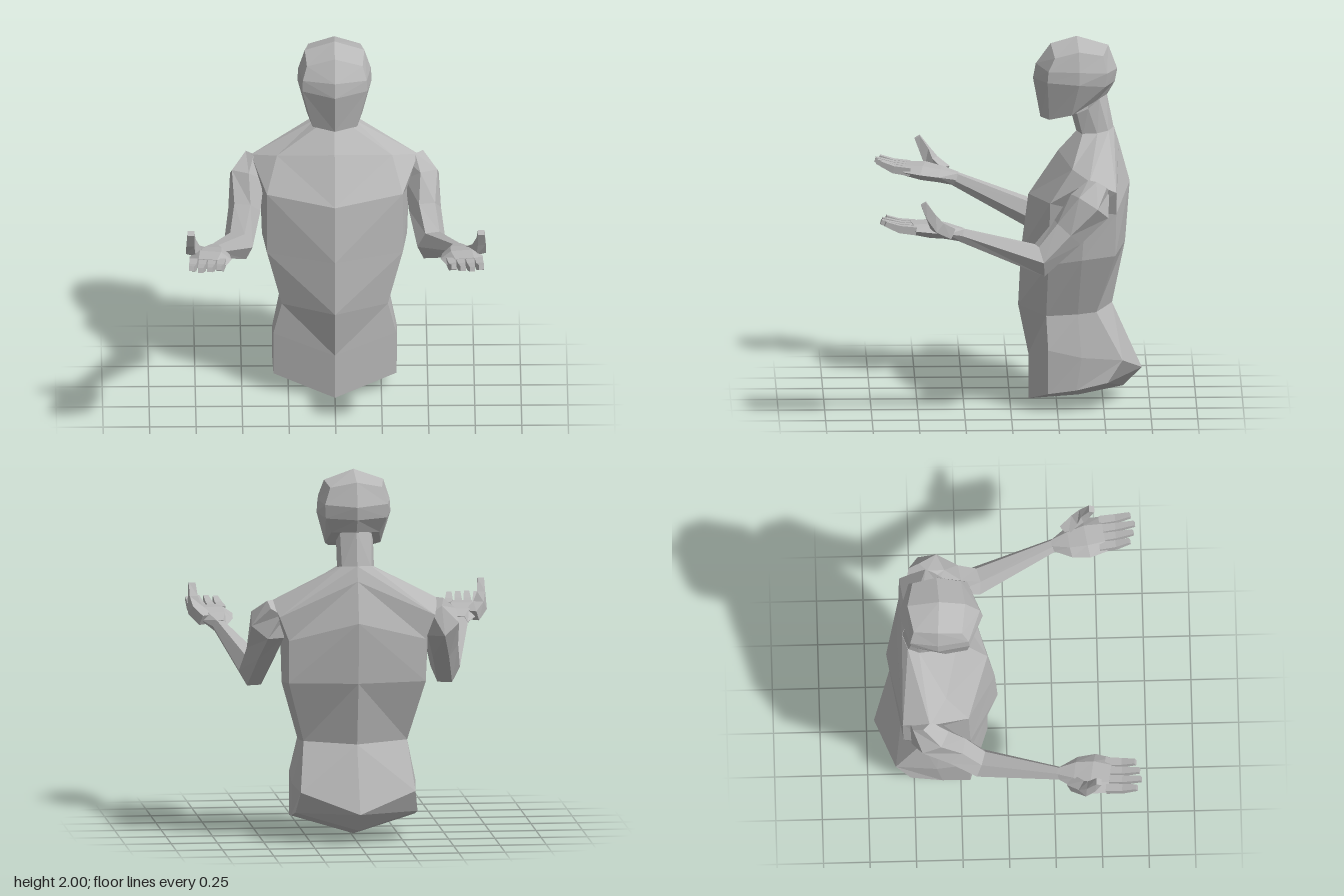
import * as THREE from 'three';

const grey = new THREE.MeshStandardMaterial({ color: 0xb8b8b8 });
grey.name = 'plain grey';

// Faceted skin over a stack of rings, closed with a fan at each end.
function loft(name, rings, startCentre, endCentre) {
  const pos = [];
  const tri = (...pts) => pts.forEach((p) => pos.push(p.x, p.y, p.z));
  const middle = (ring) =>
    ring.reduce((sum, p) => sum.add(p), new THREE.Vector3()).divideScalar(ring.length);
  const n = rings[0].length;
  const first = rings[0], last = rings[rings.length - 1];
  const c0 = startCentre || middle(first), c1 = endCentre || middle(last);
  for (let j = 0; j < n; j++) {
    const k = (j + 1) % n;
    for (let i = 0; i < rings.length - 1; i++) {
      const a = rings[i][j], b = rings[i][k], c = rings[i + 1][k], d = rings[i + 1][j];
      // diagonals are mirrored so both halves match
      if (j < n / 2) { tri(a, b, c); tri(a, c, d); } else { tri(a, b, d); tri(b, c, d); }
    }
    tri(c0, first[k], first[j]);
    tri(c1, last[j], last[k]);
  }
  const geo = new THREE.BufferGeometry();
  geo.setAttribute('position', new THREE.Float32BufferAttribute(pos, 3));
  geo.computeVertexNormals();
  const mesh = new THREE.Mesh(geo, grey);
  mesh.name = name;
  return mesh;
}

// Half ring (front centre, front corner, side, back corner, back centre) mirrored to a full one.
function fullRing(half) {
  const right = half.map((p) => new THREE.Vector3(...p));
  const left = right.slice(1, -1).reverse().map((p) => new THREE.Vector3(-p.x, p.y, p.z));
  return [...right, ...left];
}

// Limb from sections [x, y, z, half width, half thickness], mirrored in x by s.
function limb(name, s, sections, sides = 6) {
  const centres = sections.map(([x, y, z]) => new THREE.Vector3(s * x, y, z));
  const up = new THREE.Vector3(0, 1, 0);
  const phase = sides === 4 ? Math.PI / 4 : 0;
  const grow = sides === 4 ? Math.SQRT2 : 1;
  const step = (i) => centres[i + 1].clone().sub(centres[i]).normalize();
  const rings = centres.map((c, i) => {
    const t = new THREE.Vector3();
    if (i > 0) t.add(step(i - 1));
    if (i < centres.length - 1) t.add(step(i));
    t.normalize();
    const side = t.clone().cross(up).normalize();
    const over = t.clone().cross(side);
    return Array.from({ length: sides }, (_, k) => {
      const a = phase + (k / sides) * Math.PI * 2;
      return c.clone()
        .addScaledVector(side, Math.cos(a) * sections[i][3] * grow)
        .addScaledVector(over, Math.sin(a) * sections[i][4] * grow);
    });
  });
  return loft(name, rings);
}

export function createModel() {
  const model = new THREE.Group();
  model.name = 'bust';

  // Torso, from the cut hips up to the base of the neck
  const torso = [
    [[0, 0, -0.1], [0.33, 0.1, -0.2], [0.335, 0.12, -0.35], [0.33, 0.16, -0.52], [0, 0.07, -0.61]],
    [[0, 0.25, -0.1], [0.33, 0.34, -0.2], [0.335, 0.3, -0.38], [0.31, 0.28, -0.6], [0, 0.17, -0.71]],
    [[0, 0.52, -0.045], [0.285, 0.52, -0.19], [0.29, 0.53, -0.36], [0.28, 0.54, -0.46], [0, 0.53, -0.55]],
    [[0, 0.82, -0.06], [0.365, 0.82, -0.2], [0.39, 0.85, -0.38], [0.37, 0.87, -0.56], [0, 0.87, -0.62]],
    [[0, 1.13, -0.1], [0.365, 1.16, -0.21], [0.4, 1.12, -0.4], [0.37, 1.1, -0.565], [0, 1.2, -0.645]],
    [[0, 1.37, -0.26], [0.31, 1.335, -0.33], [0.45, 1.3, -0.42], [0.42, 1.23, -0.565], [0, 1.42, -0.585]],
    [[0, 1.48, -0.36], [0.09, 1.48, -0.39], [0.1, 1.485, -0.47], [0.08, 1.495, -0.53], [0, 1.5, -0.56]],
  ].map(fullRing);
  model.add(loft('torso', torso, new THREE.Vector3(0, 0.02, -0.37)));

  // Neck, leaning forward into the skull
  model.add(loft('neck', [
    [[0, 1.47, -0.36], [0.09, 1.47, -0.39], [0.1, 1.475, -0.47], [0.08, 1.485, -0.53], [0, 1.49, -0.56]],
    [[0, 1.58, -0.33], [0.085, 1.59, -0.36], [0.1, 1.62, -0.42], [0.085, 1.67, -0.48], [0, 1.69, -0.52]],
  ].map(fullRing)));

  // Head, from the jaw line to the crown
  model.add(loft('head', [
    [[0, 1.555, -0.165], [0.12, 1.565, -0.21], [0.15, 1.595, -0.33], [0.13, 1.67, -0.46], [0, 1.68, -0.525]],
    [[0, 1.77, -0.125], [0.175, 1.78, -0.2], [0.2, 1.77, -0.37], [0.165, 1.755, -0.51], [0, 1.75, -0.565]],
    [[0, 1.85, -0.14], [0.172, 1.84, -0.205], [0.195, 1.84, -0.37], [0.17, 1.83, -0.52], [0, 1.82, -0.578]],
    [[0, 1.96, -0.22], [0.15, 1.91, -0.24], [0.16, 1.945, -0.37], [0.14, 1.92, -0.5], [0, 1.95, -0.53]],
  ].map(fullRing), null, new THREE.Vector3(0, 2, -0.36)));

  // Arms and open hands, palms up
  for (const [label, s] of [['left', 1], ['right', -1]]) {
    const arm = new THREE.Group();
    arm.name = label + 'Arm';
    arm.add(limb('armSleeve', s, [
      [0.42, 1.27, -0.47, 0.06, 0.07],
      [0.47, 1.17, -0.42, 0.1, 0.125],
      [0.485, 1.03, -0.3, 0.088, 0.1],
      [0.52, 0.885, -0.15, 0.08, 0.096],
      [0.655, 1.06, 0.28, 0.036, 0.04],
    ]));

    const hand = new THREE.Group();
    hand.name = label + 'Hand';
    hand.add(limb('palm', s, [
      [0.653, 1.06, 0.27, 0.036, 0.04],
      [0.66, 1.085, 0.36, 0.09, 0.042],
      [0.675, 1.1, 0.45, 0.115, 0.045],
      [0.69, 1.11, 0.545, 0.1, 0.032],
    ]));
    const reach = [0.68, 0.7, 0.708, 0.685];
    reach.forEach((z, i) => {
      const root = 0.615 + 0.05 * i, tip = 0.632 + 0.049 * i;
      hand.add(limb('finger' + (i + 1), s, [
        [root, 1.11, 0.52, 0.022, 0.022],
        [(root + tip) / 2, 1.122, 0.61, 0.02, 0.02],
        [tip, 1.152, z, 0.014, 0.013],
      ], 4));
    });
    hand.add(limb('thumb', s, [
      [0.72, 1.085, 0.34, 0.035, 0.03],
      [0.77, 1.13, 0.405, 0.03, 0.032],
      [0.78, 1.19, 0.44, 0.022, 0.026],
      [0.78, 1.262, 0.48, 0.018, 0.016],
    ], 4));
    arm.add(hand);
    model.add(arm);
  }
  return model;
}
